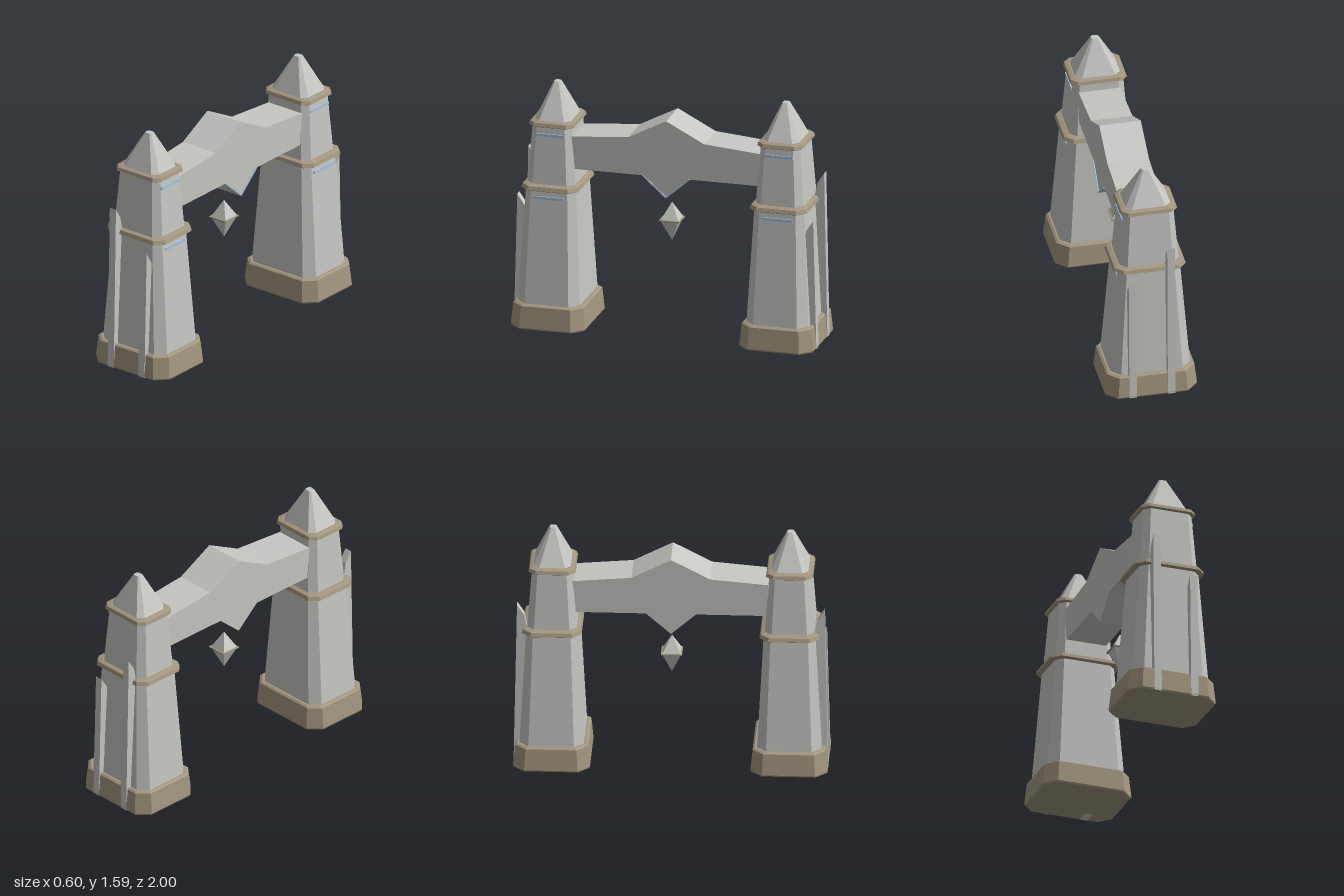
import * as THREE from 'three';

const mat = (name, color) => {
  const m = new THREE.MeshStandardMaterial({ color, flatShading: true });
  m.name = name;
  return m;
};

// Loft through rectangles with cut corners; each ring is [y, halfX, halfZ, corner]
function loft(rings) {
  const pos = [];
  const loops = rings.map(([y, a, b, c]) => [
    [a, y, b - c], [a, y, c - b], [a - c, y, -b], [c - a, y, -b],
    [-a, y, c - b], [-a, y, b - c], [c - a, y, b], [a - c, y, b],
  ]);
  const tri = (...p) => p.forEach((q) => pos.push(...q));
  for (let r = 0; r < loops.length - 1; r++) {
    const lo = loops[r], hi = loops[r + 1];
    for (let i = 0; i < 8; i++) {
      const j = (i + 1) % 8;
      tri(lo[i], lo[j], hi[j]);
      tri(lo[i], hi[j], hi[i]);
    }
  }
  const bottom = loops[0], top = loops[loops.length - 1];
  for (let i = 1; i < 7; i++) {
    tri(bottom[0], bottom[i + 1], bottom[i]);
    tri(top[0], top[i], top[i + 1]);
  }
  const g = new THREE.BufferGeometry();
  g.setAttribute('position', new THREE.Float32BufferAttribute(pos, 3));
  g.computeVertexNormals();
  return g;
}

// Extrude a (z, y) outline across x, centred on x
function slab(points, width, x = 0) {
  const shape = new THREE.Shape(points.map(([z, y]) => new THREE.Vector2(z, y)));
  const g = new THREE.ExtrudeGeometry(shape, { depth: width, bevelEnabled: false });
  return g.translate(0, 0, -width / 2).rotateY(-Math.PI / 2).translate(x, 0, 0);
}

export function createModel() {
  const root = new THREE.Group();
  root.name = 'gateway';
  const stone = mat('pale stone', 0xc6c7c3);
  const trim = mat('tan trim', 0xa39780);
  const glow = mat('light blue', 0xa6c4e0);
  const add = (parent, name, geometry, material) => {
    const m = new THREE.Mesh(geometry, material);
    m.name = name;
    parent.add(m);
    return m;
  };

  // Tower parts, stacked from the ground up
  const towerParts = [
    ['base', trim, [[0, 0.295, 0.24, 0.07], [0.01, 0.3, 0.245, 0.075], [0.15, 0.285, 0.232, 0.07], [0.16, 0.27, 0.22, 0.065]]],
    ['lowerShaft', stone, [[0.15, 0.26, 0.205, 0.06], [0.915, 0.2, 0.165, 0.045]]],
    ['middleBand', trim, [[0.908, 0.225, 0.18, 0.052], [0.914, 0.235, 0.19, 0.055], [0.938, 0.227, 0.182, 0.053], [0.947, 0.2, 0.16, 0.045]]],
    ['upperShaft', stone, [[0.94, 0.193, 0.158, 0.045], [1.33, 0.163, 0.13, 0.038]]],
    ['topBand', trim, [[1.322, 0.175, 0.14, 0.038], [1.328, 0.185, 0.15, 0.042], [1.35, 0.178, 0.143, 0.04], [1.358, 0.155, 0.124, 0.036]]],
    ['spire', stone, [[1.35, 0.15, 0.122, 0.038], [1.585, 0.025, 0.021, 0.009]]],
  ];

  for (const s of [1, -1]) {
    const tower = new THREE.Group();
    tower.name = s > 0 ? 'frontTower' : 'backTower';
    root.add(tower);
    for (const [name, material, rings] of towerParts) {
      add(tower, name, loft(rings), material).position.z = 0.755 * s;
    }

    // Tall and short fins on the outer face
    for (const [name, x, h] of [['tallFin', -0.12, 1.095], ['shortFin', 0.13, 0.855]]) {
      const outline = [[0.9, 0], [1, 0], [0.978, h], [0.932, h - 0.07], [0.915, h - 0.16], [0.9, h - 0.2]];
      add(tower, name, slab(outline.map(([z, y]) => [z * s, y]), 0.05, x), stone);
    }

    // Light strips on one side of each shaft
    for (const [y, x, len] of [[0.86, 0.207, 0.2], [1.27, 0.17, 0.185]]) {
      const strip = add(tower, 'lightStrip', new THREE.BoxGeometry(0.009, 0.018, len), glow);
      strip.position.set(x, y, 0.755 * s);
    }
  }

  // Bridge with raised peak and pointed keystone
  const half = [[0.16, 1.05], [0.66, 1.05], [0.66, 1.262], [0.25, 1.297]];
  const mirrored = half.map(([z, y]) => [-z, y]).reverse();
  add(root, 'bridge', slab([[0, 0.91], ...half, [0, 1.427], ...mirrored], 0.27), stone);

  // Light line along the keystone edge
  add(root, 'keystoneLight', slab(
    [[0, 0.91], [0.16, 1.05], [0.148, 1.05], [0, 0.92], [-0.148, 1.05], [-0.16, 1.05]], 0.008, 0.138), glow);

  // Hanging crystal with a thin collar
  const crystal = new THREE.Group();
  crystal.name = 'crystal';
  root.add(crystal);
  add(crystal, 'crystalBody', loft([[0.59, 0.001, 0.001, 0], [0.73, 0.06, 0.06, 0], [0.842, 0.001, 0.001, 0]]), stone);
  add(crystal, 'crystalCollar', new THREE.BoxGeometry(0.135, 0.008, 0.135), trim).position.y = 0.73;

  return root;
}
